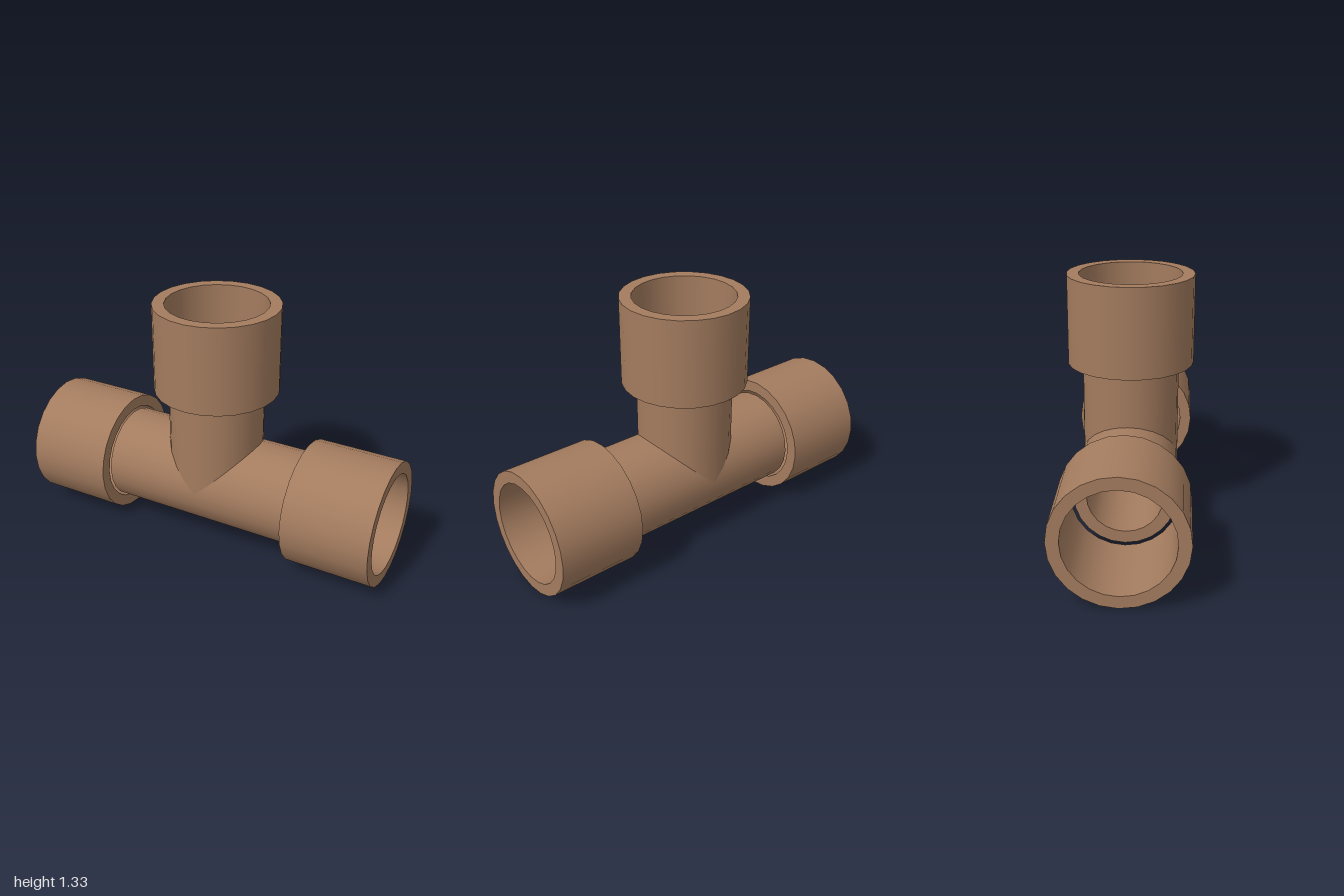
import * as THREE from 'three';

const SIDES = 24;
const AXIS_Y = 0.331; // height of the run's centre line

// Hollow pipe along y with crisp rims: each wall has its own lathe strip, so edges stay sharp.
function tube(name, outer, inner, from, to, material) {
  const group = new THREE.Group();
  group.name = name;
  const strips = {
    OuterWall: [[outer, from], [outer, to]],
    EndRim: [[outer, to], [inner, to]],
    InnerWall: [[inner, to], [inner, from]],
    StartRim: [[inner, from], [outer, from]],
  };
  for (const [part, points] of Object.entries(strips)) {
    const profile = points.map(([r, y]) => new THREE.Vector2(r, y));
    const mesh = new THREE.Mesh(new THREE.LatheGeometry(profile, SIDES), material);
    mesh.name = name + part;
    group.add(mesh);
  }
  return group;
}

export function createModel() {
  const copper = new THREE.MeshStandardMaterial({ color: 0xa47c5f });
  copper.name = 'copper';

  const model = new THREE.Group();
  model.name = 'pipeTee';

  // Horizontal run with a wider socket at each end
  const run = new THREE.Group();
  run.name = 'run';
  run.add(tube('runPipe', 0.253, 0.19, -0.533, 0.533, copper));
  run.add(tube('leftSocket', 0.33, 0.267, -1, -0.533, copper));
  run.add(tube('rightSocket', 0.33, 0.267, 0.533, 1, copper));
  run.rotation.z = Math.PI / 2;
  run.position.y = AXIS_Y;
  model.add(run);

  // Upright branch starting at the centre line, with its own socket
  const branch = new THREE.Group();
  branch.name = 'branch';
  branch.add(tube('branchPipe', 0.2525, 0.19, 0, 0.535, copper));
  branch.add(tube('topSocket', 0.33, 0.267, 0.535, 1.002, copper));
  branch.position.y = AXIS_Y;
  model.add(branch);

  return model;
}
